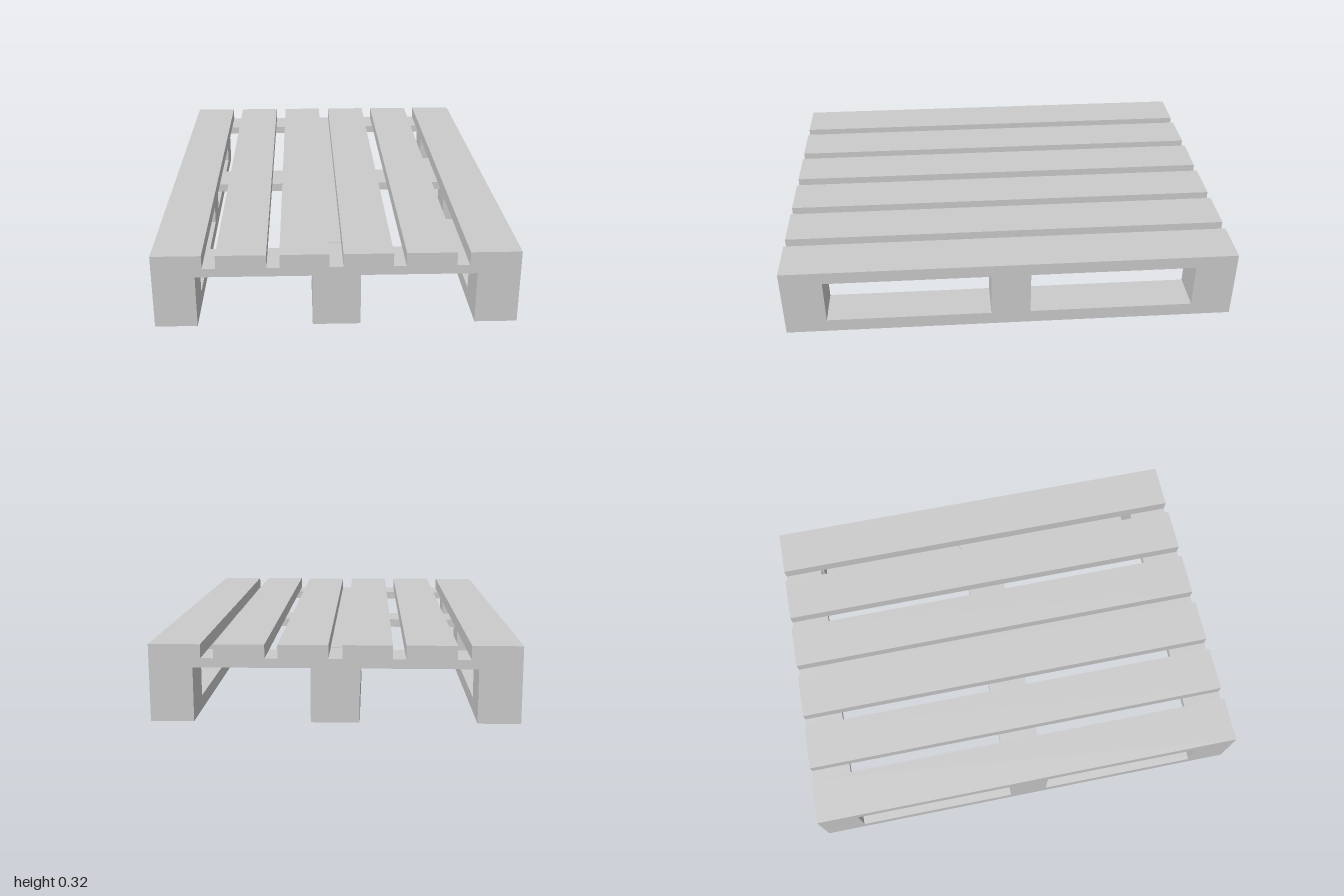
import * as THREE from 'three';

const material = new THREE.MeshStandardMaterial({ color: 0xcccccc, flatShading: true });

// Box given by its extents along each axis
function addBox(parent, name, [x0, x1], [y0, y1], [z0, z1]) {
  const mesh = new THREE.Mesh(new THREE.BoxGeometry(x1 - x0, y1 - y0, z1 - z0), material);
  mesh.position.set((x0 + x1) / 2, (y0 + y1) / 2, (z0 + z1) / 2);
  mesh.name = name;
  parent.add(mesh);
}

const RUNNER_TOP = 0.06, CROSS_BOTTOM = 0.225, DECK_BOTTOM = 0.263, DECK_TOP = 0.32;

export function createModel() {
  const pallet = new THREE.Group();
  pallet.name = 'pallet';

  // Six deck slats running front to back
  const deck = new THREE.Group();
  deck.name = 'deck';
  const slats = [[-0.75, -0.545], [-0.49, -0.285], [-0.232, -0.03], [0.026, 0.23], [0.282, 0.488], [0.54, 0.75]];
  for (const x of slats) addBox(deck, 'deckSlat', x, [DECK_BOTTOM, DECK_TOP], [-1, 1]);
  // Thin strip closing the middle gap above the centre skid
  addBox(deck, 'centreStrip', [-0.03, 0.026], [DECK_BOTTOM - 0.002, DECK_BOTTOM + 0.002], [-0.775, 0.775]);
  pallet.add(deck);

  // Three skids: a bottom runner carrying three blocks
  const outerBlocks = [[-1, -0.817], [-0.087, 0.088], [0.817, 1]];
  const centreBlocks = [[-1, -0.775], [-0.135, 0.088], [0.775, 1]];
  const skids = [
    ['rightSkid', [-0.75, -0.575], outerBlocks],
    ['centreSkid', [-0.1, 0.098], centreBlocks],
    ['leftSkid', [0.573, 0.75], outerBlocks],
  ];
  for (const [name, x, blocks] of skids) {
    const skid = new THREE.Group();
    skid.name = name;
    addBox(skid, 'runner', x, [0, RUNNER_TOP], [-1, 1]);
    for (const z of blocks) addBox(skid, 'block', x, [RUNNER_TOP, DECK_BOTTOM], z);
    pallet.add(skid);
  }

  // Cross boards under the deck, spanning the bays between the skids
  const crossBoards = new THREE.Group();
  crossBoards.name = 'crossBoards';
  for (const x of [[-0.575, -0.1], [0.098, 0.573]])
    for (const z of [[-1, -0.822], [-0.097, 0.085], [0.817, 1]])
      addBox(crossBoards, 'crossBoard', x, [CROSS_BOTTOM, DECK_BOTTOM], z);
  pallet.add(crossBoards);

  return pallet;
}
